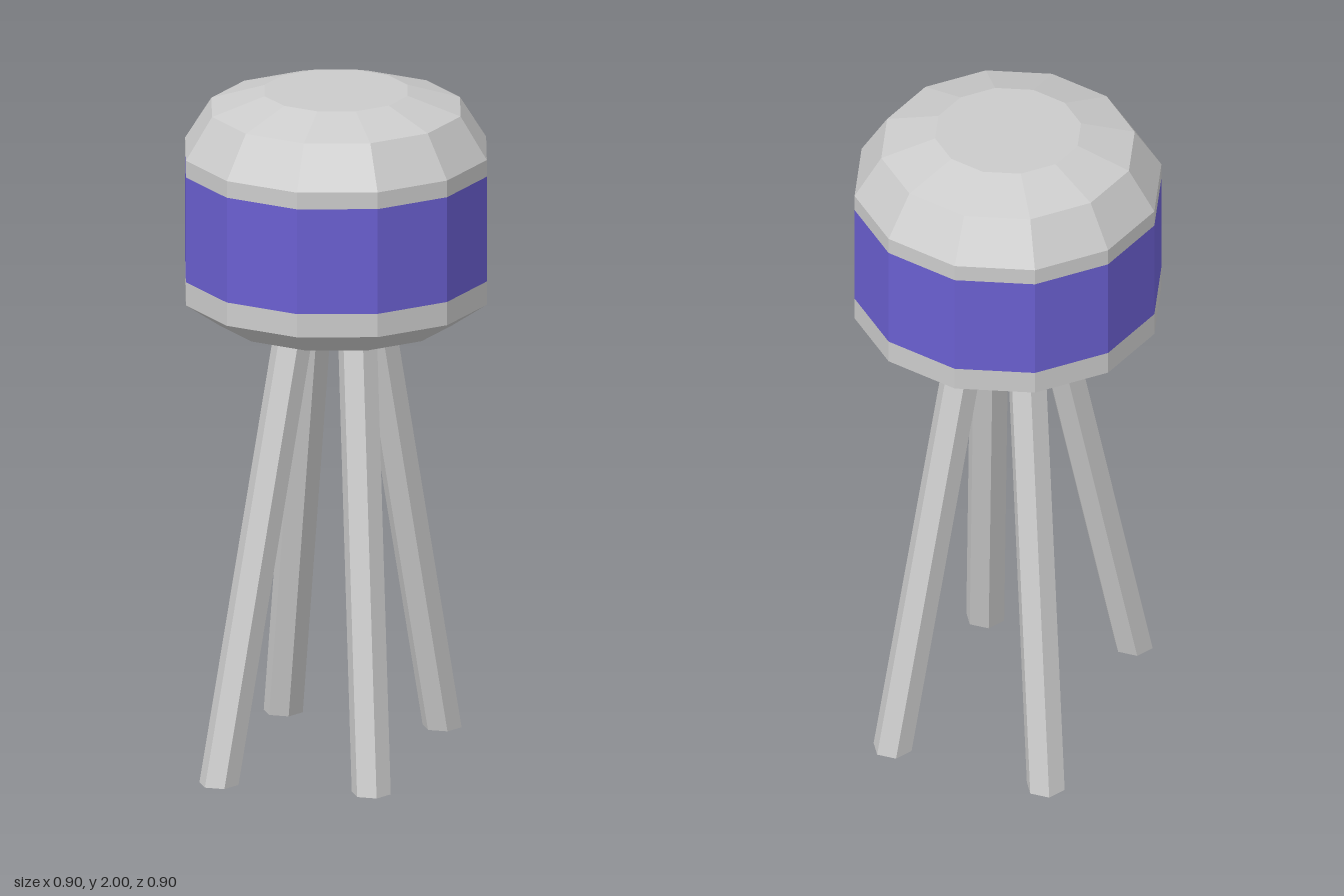
import * as THREE from 'three';

const grey = new THREE.MeshStandardMaterial({ color: 0xcccccc, flatShading: true });
const violet = new THREE.MeshStandardMaterial({ color: 0x6a5fd0, flatShading: true });

// Twelve-sided turned section from [radius, height] pairs, bottom to top
function turned(name, profile, material) {
  const points = profile.map(([r, y]) => new THREE.Vector2(r, y));
  const mesh = new THREE.Mesh(new THREE.LatheGeometry(points, 12), material);
  mesh.name = name;
  return mesh;
}

// Hexagonal leg leaning from foot to top, with level ends
function leg(name, [x0, z0], [x1, z1]) {
  const height = 1.33;
  const geo = new THREE.CylinderGeometry(0.058, 0.058, height, 6);
  geo.rotateY(Math.PI / 6).translate(0, height / 2, 0);
  const p = geo.attributes.position;
  for (let i = 0; i < p.count; i++) {
    const t = p.getY(i) / height;
    p.setX(i, p.getX(i) + THREE.MathUtils.lerp(x0, x1, t));
    p.setZ(i, p.getZ(i) + THREE.MathUtils.lerp(z0, z1, t));
  }
  geo.computeVertexNormals();
  const mesh = new THREE.Mesh(geo, grey);
  mesh.name = name;
  return mesh;
}

export function createModel() {
  const model = new THREE.Group();
  model.name = 'waterTower';

  // Tank: closed base, coloured band, domed lid
  const tank = new THREE.Group();
  tank.name = 'tank';
  tank.add(
    turned('tankBase', [[0, 1.32], [0.345, 1.32], [0.448, 1.39], [0.448, 1.46]], grey),
    turned('tankBand', [[0.448, 1.46], [0.448, 1.775]], violet),
    turned('tankLid', [[0.448, 1.775], [0.448, 1.825], [0.37, 1.95], [0.213, 2], [0, 2]], grey)
  );
  model.add(tank);

  // Slightly uneven splayed legs: foot centre, top centre (x, z)
  model.add(
    leg('frontLeftLeg', [0.19, 0.33], [0.08, 0.067]),
    leg('backLeftLeg', [0.222, -0.36], [0.085, -0.102]),
    leg('frontRightLeg', [-0.257, 0.35], [-0.097, 0.088]),
    leg('backRightLeg', [-0.257, -0.388], [-0.097, -0.114])
  );
  return model;
}
